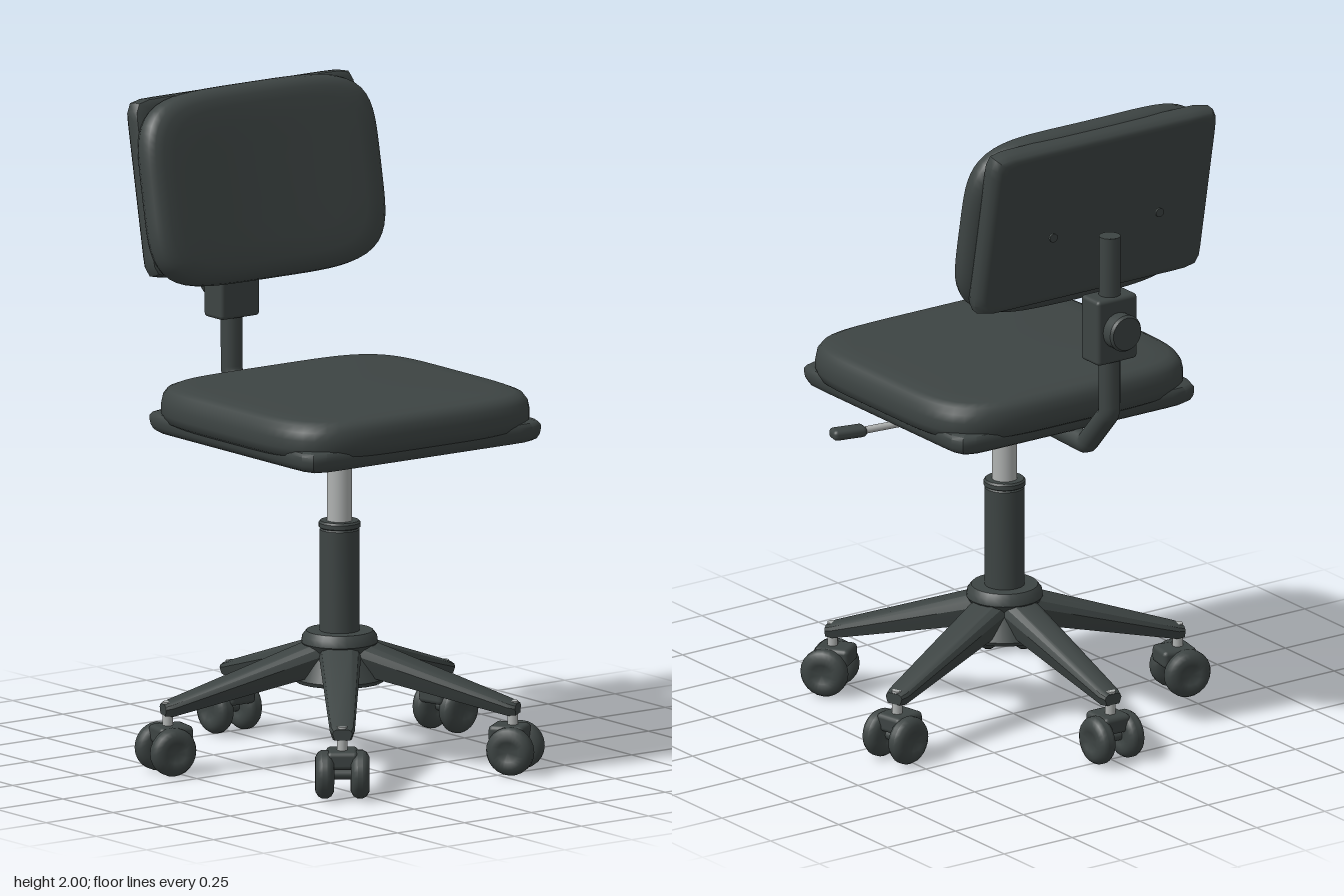
import * as THREE from 'three';
import { toCreasedNormals } from 'three/addons/utils/BufferGeometryUtils.js';
import { RoundedBoxGeometry } from 'three/addons/geometries/RoundedBoxGeometry.js';
import { ConvexGeometry } from 'three/addons/geometries/ConvexGeometry.js';

const V = (x, y, z) => new THREE.Vector3(x, y, z);

// Stacks rounded-square rings; profile = [scale, height] from bottom centre to top centre.
function loft(hx, hz, n, profile, bend = 0, crease = 0.6) {
  const N = 96, pos = [], idx = [];
  for (const [s, y] of profile) {
    for (let i = 0; i < N; i++) {
      const t = (i / N) * Math.PI * 2, c = Math.cos(t), d = Math.sin(t);
      const r = Math.pow(Math.abs(c) ** n + Math.abs(d) ** n, -1 / n) * s;
      pos.push(c * r * hx, y + bend * (c * r) ** 2, d * r * hz);
    }
  }
  for (let j = 0; j < profile.length - 1; j++) {
    for (let i = 0; i < N; i++) {
      const k = (i + 1) % N, a = j * N + i, b = a + N, c = j * N + k, d = c + N;
      if (profile[j][0] > 0) idx.push(a, b, c);
      if (profile[j + 1][0] > 0) idx.push(b, d, c);
    }
  }
  const g = new THREE.BufferGeometry();
  g.setAttribute('position', new THREE.Float32BufferAttribute(pos, 3));
  g.setIndex(idx);
  return toCreasedNormals(g, crease);
}

export function createModel() {
  const dark = new THREE.MeshStandardMaterial({ color: 0x3d4443 });
  dark.name = 'charcoal';
  const metal = new THREE.MeshStandardMaterial({ color: 0xb0b3b2 });
  metal.name = 'steel';

  const model = new THREE.Group();
  model.name = 'officeChair';
  const add = (name, geo, mat, x = 0, y = 0, z = 0, parent = model) => {
    const m = new THREE.Mesh(geo, mat);
    m.name = name;
    m.position.set(x, y, z);
    parent.add(m);
    return m;
  };
  const lathe = (pts, seg = 28) =>
    toCreasedNormals(new THREE.LatheGeometry(pts.map(p => new THREE.Vector2(p[0], p[1])), seg), 0.6);
  const rod = (name, a, b, r, mat, parent = model) => {
    const dir = b.clone().sub(a);
    const m = add(name, new THREE.CylinderGeometry(r, r, dir.length(), 14), mat, 0, 0, 0, parent);
    m.position.copy(a).add(b).multiplyScalar(0.5);
    m.quaternion.setFromUnitVectors(V(0, 1, 0), dir.normalize());
    return m;
  };

  const CZ = 0.045; // column axis

  // Seat: hollow-bottomed shell and padded cushion
  add('seatShell', loft(0.44, 0.422, 20, [
    [0, 1.033], [0.8, 1.033], [0.83, 1.033], [0.945, 0.998], [0.955, 0.997], [0.98, 1.004], [0.995, 1.018],
    [1, 1.032], [1, 1.046], [0.985, 1.056], [0.95, 1.06], [0, 1.06],
  ], 0, 0.7), dark, 0, 0, 0.073);
  add('seatCushion', loft(0.46, 0.438, 5, [
    [0, 1.05], [0.95, 1.028], [0.985, 1.038], [1, 1.062], [1, 1.09], [0.99, 1.115],
    [0.965, 1.133], [0.92, 1.142], [0.8, 1.145], [0, 1.146],
  ], 0, 1.2), dark, 0, 0, 0.073);

  // Backrest: local y points forward, leaning back
  const back = new THREE.Group();
  back.name = 'backrest';
  back.position.set(0, 1.712, -0.435);
  back.rotation.x = Math.PI / 2 - 0.19;
  model.add(back);
  add('backShell', loft(0.412, 0.27, 20, [
    [0, -0.008], [0.9, -0.008], [0.94, -0.008], [0.975, -0.001], [1, 0.016], [1, 0.042],
    [0.985, 0.055], [0.95, 0.06], [0.9, 0.06], [0, 0.06],
  ], 0, 0.7), dark, 0, 0, 0, back);
  add('backCushion', loft(0.432, 0.295, 4.5, [
    [0, 0.028], [0.5, 0.028], [0.92, 0.028], [0.975, 0.038], [1, 0.06], [1, 0.078], [0.985, 0.1],
    [0.95, 0.115], [0.89, 0.123], [0.8, 0.126], [0.6, 0.127], [0.4, 0.127], [0.2, 0.127], [0, 0.127],
  ], 0.018, 1.2), dark, 0, 0, 0.021, back);
  for (const s of [-1, 1]) {
    const screw = add('backScrew', new THREE.CylinderGeometry(0.014, 0.014, 0.008, 12), dark, s * 0.195, 1.688, -0.477);
    screw.rotation.x = Math.PI / 2;
  }

  // Bent support post
  const path = new THREE.CurvePath();
  const pts = [V(0, 0.975, -0.17), V(0, 0.969, -0.365), V(0, 0.983, -0.39), V(0, 1.078, -0.475),
    V(0, 1.115, -0.493), V(0, 1.66, -0.495)];
  path.add(new THREE.LineCurve3(pts[0], pts[1]));
  path.add(new THREE.QuadraticBezierCurve3(pts[1], V(0, 0.967, -0.379), pts[2]));
  path.add(new THREE.LineCurve3(pts[2], pts[3]));
  path.add(new THREE.QuadraticBezierCurve3(pts[3], V(0, 1.095, -0.493), pts[4]));
  path.add(new THREE.LineCurve3(pts[4], pts[5]));
  add('supportPost', new THREE.TubeGeometry(path, 80, 0.033, 14), dark);
  const endCap = new THREE.CircleGeometry(0.033, 14);
  add('postTopCap', endCap, dark, 0, 1.66, -0.495).rotation.x = -Math.PI / 2;
  add('postFrontCap', endCap, dark, 0, 0.975, -0.17);

  // Height clamp with knob
  add('clamp', new RoundedBoxGeometry(0.146, 0.205, 0.092, 2, 0.012), dark, 0, 1.372, -0.492);
  add('clampKnob', lathe([[0, 0], [0.055, 0], [0.057, 0.04], [0.051, 0.049], [0, 0.049]]),
    dark, 0, 1.373, -0.536).rotation.x = -Math.PI / 2;

  // Tilt mechanism and lever
  add('mechanism', new RoundedBoxGeometry(0.28, 0.06, 0.34, 2, 0.008), dark, 0, 0.983, 0.05);
  rod('lever', V(0.12, 0.972, 0.057), V(0.46, 0.956, 0.13), 0.011, metal);
  const grip = add('leverGrip', new RoundedBoxGeometry(0.11, 0.033, 0.052, 3, 0.014), dark, 0.505, 0.956, 0.143);
  grip.rotation.y = -0.21;

  // Gas lift column
  add('gasLift', new THREE.CylinderGeometry(0.038, 0.038, 0.25, 24), metal, 0, 0.85, CZ);
  add('column', lathe([[0, 0.35], [0.06, 0.35], [0.06, 0.708], [0.056, 0.712], [0.063, 0.716], [0.063, 0.729],
    [0.058, 0.735], [0, 0.735]]), dark, 0, 0, CZ);
  add('hub', lathe([[0, 0.246], [0.132, 0.246], [0.138, 0.258], [0.1, 0.34], [0.115, 0.365], [0.112, 0.385],
    [0.1, 0.4], [0, 0.4]]), dark, 0, 0, CZ);

  // Five arms with twin-wheel casters; local +z points outward
  const section = (z, w, y0, y1) => {
    const h = y1 - y0;
    return [[0.38, 0], [0.5, 0.6], [0.44, 0.85], [0.28, 1]]
      .flatMap(([x, t]) => [V(x * w, y0 + h * t, z), V(-x * w, y0 + h * t, z)]);
  };
  const armGeo = toCreasedNormals(new ConvexGeometry([
    ...section(0.04, 0.13, 0.285, 0.385), ...section(0.535, 0.075, 0.175, 0.219), ...section(0.558, 0.06, 0.177, 0.21),
  ]), 0.5);
  const wheelGeo = lathe([[0, -0.026], [0.03, -0.026], [0.033, -0.028], [0.052, -0.028], [0.066, -0.02], [0.073, -0.008],
    [0.073, 0.008], [0.066, 0.02], [0.052, 0.028], [0.033, 0.028], [0.03, 0.026], [0, 0.026]], 24);
  const pinGeo = new THREE.CylinderGeometry(0.016, 0.016, 0.081, 12);
  const hoodGeo = new RoundedBoxGeometry(0.095, 0.055, 0.11, 2, 0.014);
  const swivel = [0, 0.12, 0, 0, -0.12];
  swivel.forEach((twist, i) => {
    const leg = new THREE.Group();
    leg.name = 'baseLeg';
    leg.position.z = CZ;
    leg.rotation.y = Math.PI + (i * Math.PI * 2) / 5;
    model.add(leg);
    add('arm', armGeo, dark, 0, 0, 0, leg);
    const caster = new THREE.Group();
    caster.name = 'caster';
    caster.position.z = 0.55;
    caster.rotation.y = twist;
    leg.add(caster);
    // Pin passes through the arm tip and shows on top
    add('casterPin', pinGeo, metal, 0, 0.1765, -0.008, caster);
    add('casterHood', hoodGeo, dark, 0, 0.118, -0.018, caster);
    rod('casterAxle', V(-0.05, 0.073, 0), V(0.05, 0.073, 0), 0.016, dark, caster);
    for (const s of [-1, 1]) add('casterWheel', wheelGeo, dark, s * 0.053, 0.073, 0, caster).rotation.z = Math.PI / 2;
  });
  return model;
}
